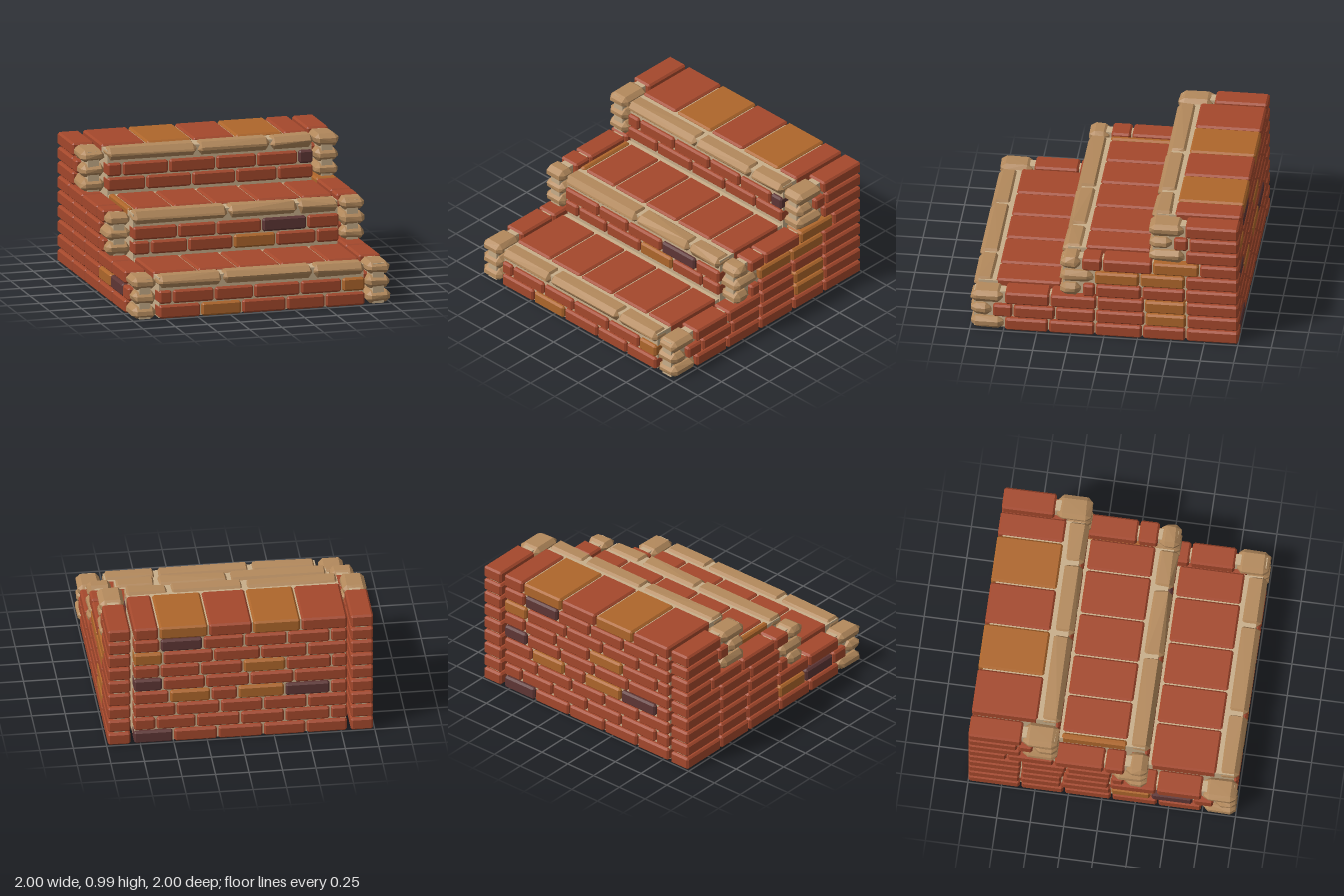
import * as THREE from 'three';
import { ConvexGeometry } from 'three/addons/geometries/ConvexGeometry.js';

const H = 1 / 9; // height of one course
const GAP = 0.012; // joint between neighbours

function material(name, color) {
  const m = new THREE.MeshStandardMaterial({ color });
  m.name = name;
  return m;
}

// seeded generator for the uneven stones
let seed = 7;
function rand() {
  seed = (seed * 16807) % 2147483647;
  return seed / 2147483647 - 0.5;
}

// box between two corners with chamfered edges, optionally roughened
function chamferBox(a, b, c, rough = 0) {
  const pts = [];
  const lo = new THREE.Vector3(...a), hi = new THREE.Vector3(...b);
  const mid = lo.clone().add(hi).multiplyScalar(0.5);
  const half = hi.clone().sub(lo).multiplyScalar(0.5);
  for (const sx of [-1, 1]) for (const sy of [-1, 1]) for (const sz of [-1, 1]) {
    for (let axis = 0; axis < 3; axis++) {
      const k = [0, 1, 2].map((i) => half.getComponent(i) - (i === axis ? 0 : Math.min(c[i], half.getComponent(i) * 0.9)));
      const p = new THREE.Vector3(sx * k[0], sy * k[1], sz * k[2]);
      // roughness only pulls points inwards
      if (rough) p.multiply(new THREE.Vector3(1, 1, 1)).sub(
        new THREE.Vector3(sx, sy, sz).multiplyScalar(rough * (0.5 + rand())));
      pts.push(p.add(mid));
    }
  }
  return new ConvexGeometry(pts);
}

export function createModel() {
  seed = 7;
  const mats = {
    r: material('red brick', 0xa4482c),
    o: material('ochre brick', 0xae662b),
    d: material('dark brick', 0x5e3635),
    s: material('sandstone', 0xb3895c),
    m: material('mortar', 0xc8ae8a),
  };
  const model = new THREE.Group();
  model.name = 'brickStairs';

  function group(name) {
    const g = new THREE.Group();
    g.name = name;
    model.add(g);
    return g;
  }
  function add(parent, name, geometry, mat) {
    const mesh = new THREE.Mesh(geometry, mat);
    mesh.name = name;
    parent.add(mesh);
  }
  const brick = (parent, name, a, b, code) =>
    add(parent, name, chamferBox(a, b, [0.014, 0.014, 0.014]), mats[code]);
  const stone = (parent, name, a, b, c) =>
    add(parent, name, chamferBox(a, b, c, 0.008), mats.s);
  function block(parent, name, a, b) {
    const g = new THREE.BoxGeometry(b[0] - a[0], b[1] - a[1], b[2] - a[2]);
    g.translate((a[0] + b[0]) / 2, (a[1] + b[1]) / 2, (a[2] + b[2]) / 2);
    add(parent, name, g, mats.m);
  }
  // visits each span of a row of cut positions
  function spans(cuts, visit) {
    for (let i = 0; i + 1 < cuts.length; i++) {
      visit(Math.min(cuts[i], cuts[i + 1]) + GAP / 2, Math.max(cuts[i], cuts[i + 1]) - GAP / 2, i);
    }
  }

  // each step: two riser courses, a nosing of long stones and a row of tread tiles
  const steps = [
    { risers: [[[-0.8, -0.47, -0.155, 0.19, 0.49, 0.8], 'rorrr'],
      [[-0.8, -0.69, -0.365, -0.06, 0.3, 0.62, 0.8], 'rrrrro']],
      nosing: [-0.8, -0.3, 0.4, 0.8],
      tread: [[-0.8, -0.45, -0.14, 0.19, 0.55, 0.8], 'rrrrr'] },
    { risers: [[[-0.8, -0.66, -0.37, -0.02, 0.31, 0.62, 0.8], 'rrrorr'],
      [[-0.8, -0.45, -0.15, 0.2, 0.55, 0.8], 'rrrdr']],
      nosing: [-0.8, -0.06, 0.48, 0.8],
      tread: [[-0.8, -0.74, -0.44, -0.125, 0.205, 0.55, 0.8], 'orrrrr'] },
    { risers: [[[-0.8, -0.495, -0.14, 0.2, 0.52, 0.8], 'rrrrr'],
      [[-0.8, -0.68, -0.32, 0.045, 0.36, 0.68, 0.8], 'rrrrrd']],
      nosing: [-0.8, -0.095, 0.465, 0.8],
      tread: [[-0.8, -0.45, -0.09, 0.24, 0.61, 0.8], 'roror'] },
  ];
  steps.forEach((step, s) => {
    const g = group('step' + (s + 1));
    const front = 1 - s * 2 / 3, back = front - 2 / 3;
    const y0 = s * 3 * H, top = y0 + 3 * H;
    block(g, 'mortarCore', [-0.79, 0.008, s === 2 ? -0.965 : back - 0.028], [0.79, top - 0.022, front - 0.04]);
    step.risers.forEach(([cuts, codes], c) => spans(cuts, (a, b, i) =>
      brick(g, 'riserBrick', [a, y0 + c * H + 0.006, front - 0.14], [b, y0 + (c + 1) * H - 0.006, front - 0.012], codes[i])));
    spans(step.nosing, (a, b) =>
      stone(g, 'nosingStone', [a - 0.004, top - H + 0.006, front - 0.165], [b + 0.004, top, front], [0.025, 0.04, 0.035]));
    spans(step.tread[0], (a, b, i) =>
      brick(g, 'treadTile', [a, top - H + 0.006, back + (s === 2 ? 0 : 0.007)], [b, top - 0.004, front - 0.175], step.tread[1][i]));
  });

  // back wall courses, under the upper tread
  const backWall = group('backWall');
  [
    [[-0.8, -0.49, -0.17, 0.17, 0.5, 0.8], 'rrrrd'],
    [[-0.8, -0.67, -0.33, 0, 0.33, 0.63, 0.8], 'rrrrrr'],
    [[-0.8, -0.5, -0.17, 0.15, 0.48, 0.8], 'rrrrr'],
    [[-0.8, -0.67, -0.33, 0.02, 0.22, 0.53, 0.8], 'rdoror'],
    [[-0.8, -0.4, -0.07, 0.26, 0.58, 0.8], 'rrrrd'],
    [[-0.8, -0.68, -0.34, -0.02, 0.3, 0.6, 0.8], 'rrorrr'],
    [[-0.8, -0.5, -0.15, 0.2, 0.58, 0.8], 'rrrro'],
    [[-0.8, -0.67, -0.35, -0.03, 0.28, 0.6, 0.8], 'rrrrdr'],
  ].forEach(([cuts, codes], c) => spans(cuts, (a, b, i) =>
    brick(backWall, 'backBrick', [a, c * H + 0.006, -0.995], [b, (c + 1) * H - 0.006, -0.87], codes[i])));

  // side walls: a front stone, then bricks to the back; codes for left and right
  const courses = [
    [[1, 0.745, 0.415, 0.07, -0.285, -0.61, -1], 'srrrrr', 'srrrrr'],
    [[1, 0.835, 0.68, 0.365, 0.065, -0.305, -0.615, -1], 'srrrror', 'srdorrr'],
    [[1, 0.745, 0.405, 0.055, -0.3, -0.61, -1], 'srrror', 'srrrrr'],
    [[0.333, 0.165, 0.065, -0.28, -0.605, -1], 'srrrr', 'srrrr'],
    [[0.333, 0.075, -0.265, -0.605, -1], 'soor', 'srrr'],
    [[0.333, 0.17, 0.015, -0.36, -0.71, -1], 'srror', 'srrrr'],
    [[-0.333, -0.605, -1], 'sr', 'sr'],
    [[-0.333, -0.515, -0.63, -1], 'srr', 'srr'],
    [[-0.333, -0.6, -1], 'sr', 'sr'],
  ];
  for (const side of [1, -1]) {
    const wall = group(side > 0 ? 'leftWall' : 'rightWall');
    const xs = (a, b) => (side > 0 ? [a, b] : [-b, -a]);
    courses.forEach(([cuts, left, right], c) => {
      const codes = side > 0 ? left : right;
      const y0 = c * H + 0.007, y1 = (c + 1) * H - 0.006;
      spans(cuts, (a, b, i) => {
        if (codes[i] === 's') {
          const [x0, x1] = xs(0.812, 1);
          stone(wall, 'cornerStone', [x0, y0, a], [x1, y1 + 0.004, b + 0.006], [0.03, 0.032, 0.04]);
        } else {
          const [x0, x1] = xs(0.822, 0.99);
          brick(wall, 'wallBrick', [x0, y0, a === -1 + GAP / 2 ? -1 : a], [x1, y1, b], codes[i]);
        }
      });
    });
    // mortar seen in the joints
    const [m0, m1] = xs(0.86, 0.945);
    for (let s = 0; s < 3; s++) {
      const front = 1 - s * 2 / 3;
      block(wall, 'wallMortar', [m0, s * 3 * H + 0.01, -0.975], [m1, (s + 1) * 3 * H - 0.02, front - 0.025]);
    }
  }
  return model;
}
